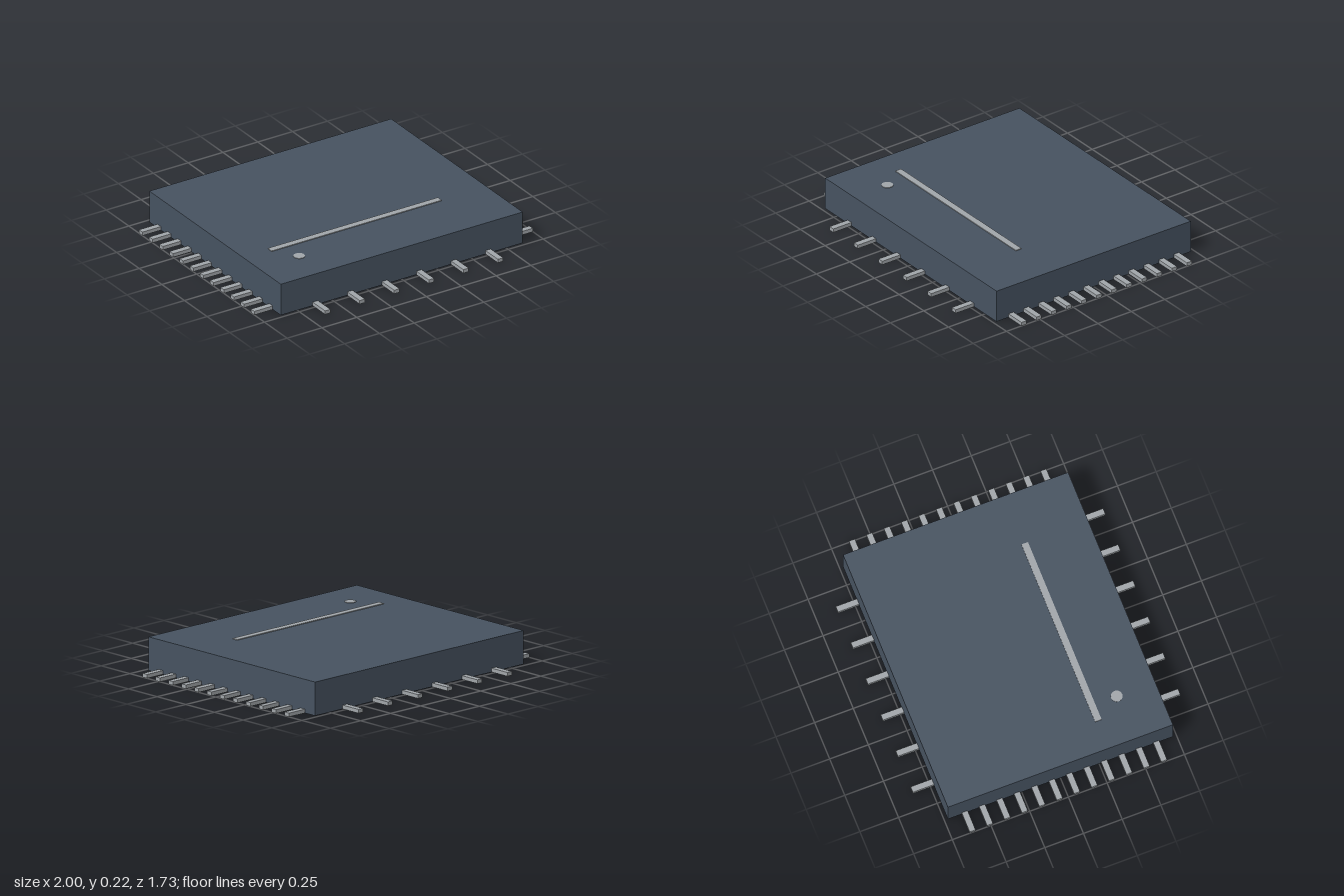
import * as THREE from 'three';

export function createModel() {
  const model = new THREE.Group();
  model.name = 'chipPackage';

  const slate = new THREE.MeshStandardMaterial({ color: 0x465260 });
  slate.name = 'slate';
  const silver = new THREE.MeshStandardMaterial({ color: 0xa0a5a9 });
  silver.name = 'silver';

  const add = (parent, name, geometry, material, x, y, z) => {
    const mesh = new THREE.Mesh(geometry, material);
    mesh.name = name;
    mesh.position.set(x, y, z);
    parent.add(mesh);
    return mesh;
  };

  // Package body
  const halfX = 0.868, halfZ = 0.727, height = 0.21;
  add(model, 'body', new THREE.BoxGeometry(halfX * 2, height, halfZ * 2), slate, 0, height / 2, 0);

  // Rows of flat leads, ending at the body walls
  const leadHeight = 0.024, leadWidth = 0.038;
  const sideLength = 1 - halfX, endLength = 0.864 - halfZ;
  const sideLead = new THREE.BoxGeometry(sideLength, leadHeight, leadWidth);
  const endLead = new THREE.BoxGeometry(leadWidth, leadHeight, endLength);
  const leads = new THREE.Group();
  leads.name = 'leads';
  model.add(leads);
  for (const s of [-1, 1]) {
    for (let i = 0; i < 12; i++) {
      add(leads, s > 0 ? 'leftLead' : 'rightLead', sideLead, silver,
        s * (halfX + sideLength / 2), leadHeight / 2, (i - 5.5) * 0.1125);
    }
    for (let i = 0; i < 6; i++) {
      add(leads, s > 0 ? 'frontLead' : 'backLead', endLead, silver,
        (i - 2.5) * 0.248, leadHeight / 2, s * (halfZ + endLength / 2));
    }
  }

  // Raised markings on the top
  add(model, 'markingStripe', new THREE.BoxGeometry(1.22, 0.005, 0.042), silver, -0.072, height + 0.0025, 0.318);
  add(model, 'pinOneDot', new THREE.CylinderGeometry(0.036, 0.036, 0.003, 16), silver, -0.575, height + 0.0015, 0.478);

  return model;
}
